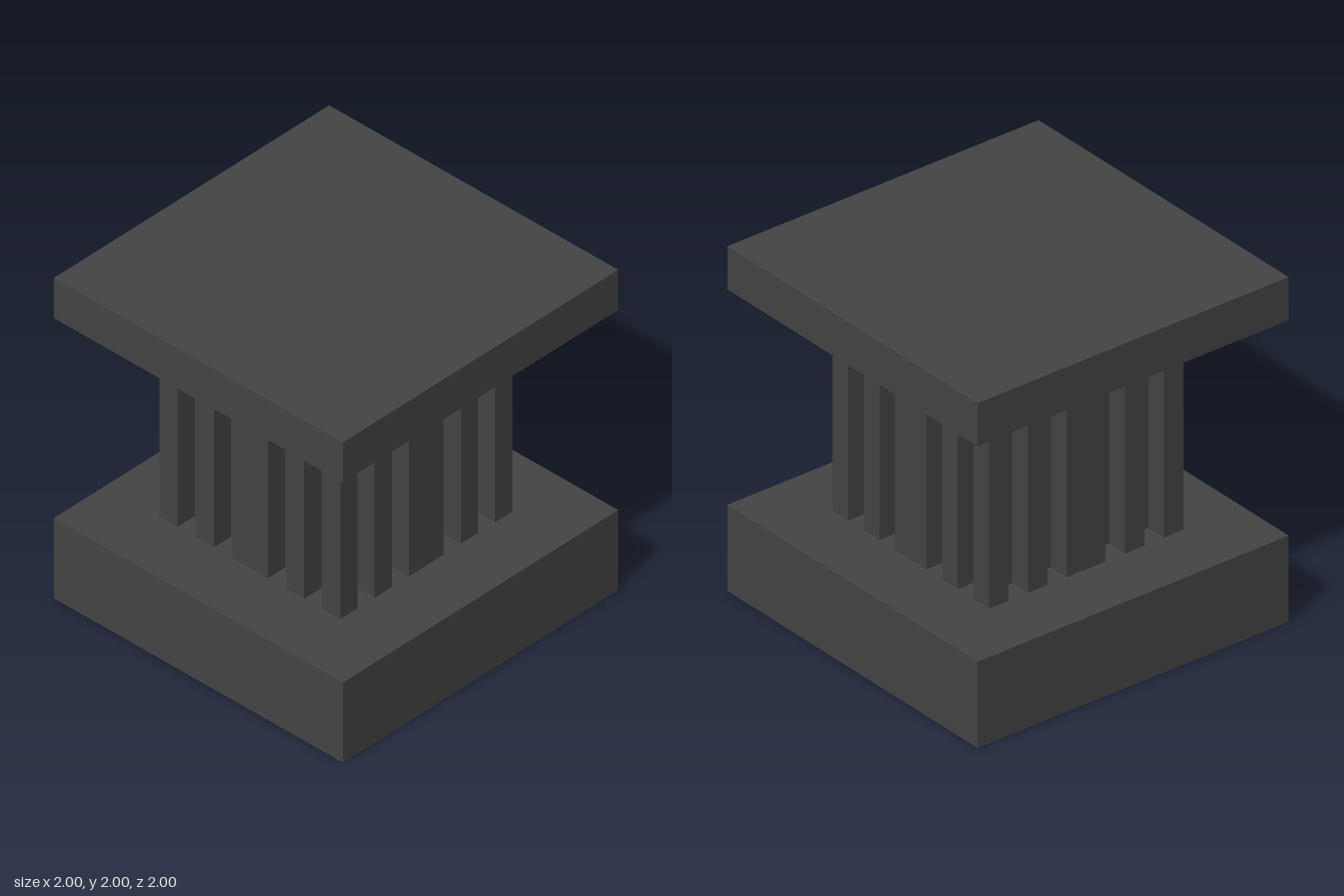
import * as THREE from 'three';

export function createModel() {
  const model = new THREE.Group();
  const darkStone = new THREE.MeshStandardMaterial({ color: 0x444444 });
  darkStone.name = 'dark stone';

  // Box given by its size, its bottom height and its centre on the ground plane
  function block(name, w, h, d, bottom, x = 0, z = 0) {
    const mesh = new THREE.Mesh(new THREE.BoxGeometry(w, h, d), darkStone);
    mesh.name = name;
    mesh.position.set(x, bottom + h / 2, z);
    model.add(mesh);
  }

  const bottom = 0.5, height = 1.25; // shaft
  const rib = 0.125, ring = 0.5625; // rib thickness, distance of rib centres from the axis

  // Slabs and shaft core
  block('base', 2, 0.5, 2, 0);
  block('capital', 2, 0.25, 2, bottom + height);
  block('shaftCore', 1, height, 1, bottom);

  for (const side of [-1, 1]) {
    // Square corner ribs
    for (const end of [-1, 1]) block('cornerRib', rib, height, rib, bottom, side * ring, end * ring);

    // One wide and two narrow ribs on each face
    for (const [offset, width] of [[-0.3125, rib], [0, 0.25], [0.3125, rib]]) {
      block('faceRib', width, height, rib, bottom, offset, side * ring);
      block('sideRib', rib, height, width, bottom, side * ring, offset);
    }
  }
  return model;
}
